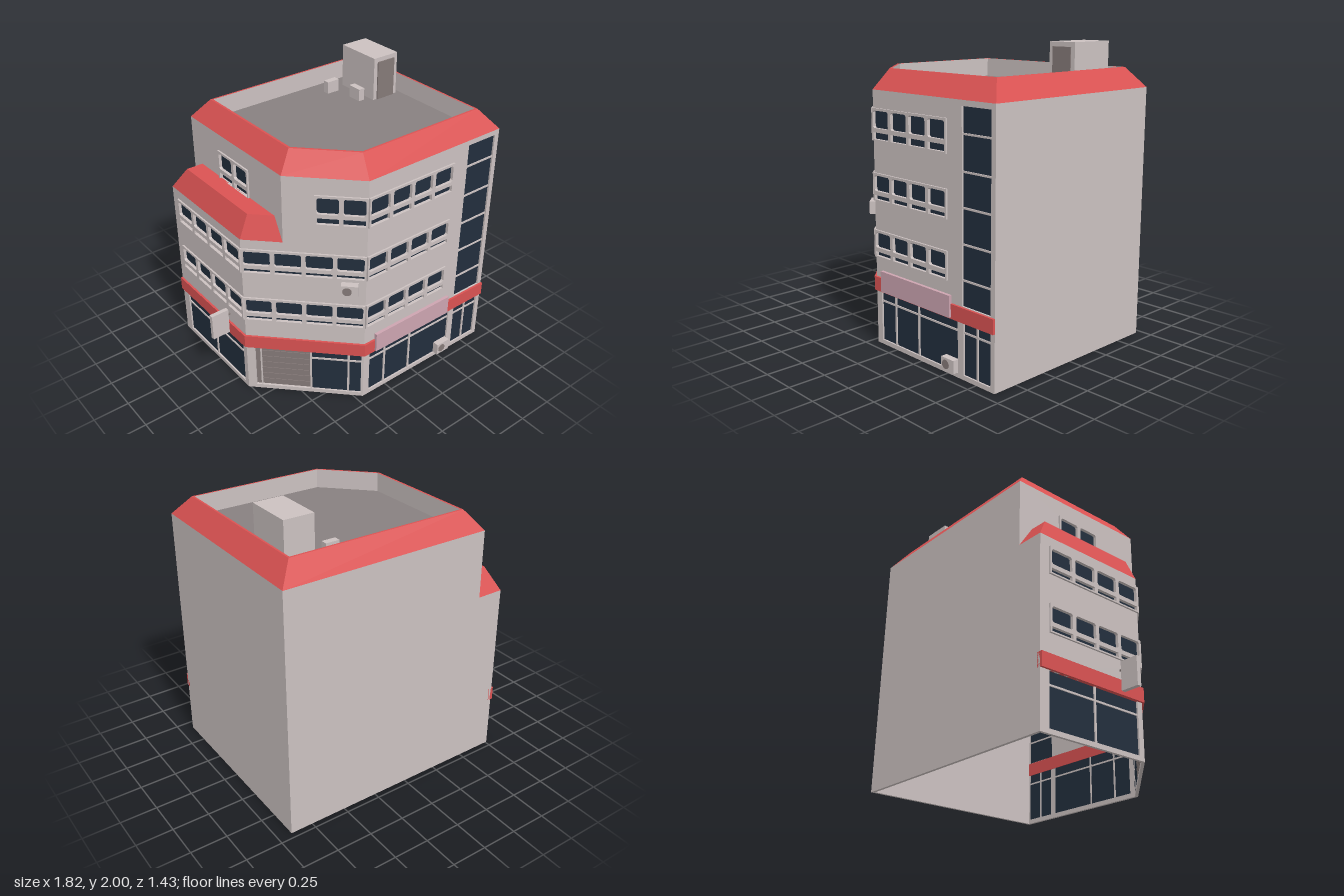
import * as THREE from 'three';

const mat = (name, color, side = THREE.FrontSide) => {
  const m = new THREE.MeshStandardMaterial({ color, side });
  m.name = name;
  return m;
};
const WALL = mat('pale wall', 0xcbc1c0, THREE.DoubleSide);
const RED = mat('red roofing', 0xda5252, THREE.DoubleSide);
const GLASS = mat('dark glass', 0x222e3d);
const DECK = mat('roof deck grey', 0x878080, THREE.DoubleSide);
const PINK = mat('pink sign', 0xcca4b0);
const SHUTTER = mat('shutter grey', 0x857a78);

function add(parent, name, geometry, material) {
  const m = new THREE.Mesh(geometry, material);
  m.name = name;
  parent.add(m);
  return m;
}

// Box given by its minimum and maximum corners
function box(parent, name, material, x0, x1, y0, y1, z0, z1) {
  const m = add(parent, name, new THREE.BoxGeometry(x1 - x0, y1 - y0, z1 - z0), material);
  m.position.set((x0 + x1) / 2, (y0 + y1) / 2, (z0 + z1) / 2);
  return m;
}

const toShape = pts => new THREE.Shape(pts.map(p => new THREE.Vector2(p[0], p[1])));
const rect = (x0, x1, y0, y1) => [[x0, y0], [x1, y0], [x1, y1], [x0, y1]];
// Rectangle with small cut corners
const cutRect = (x0, x1, y0, y1, c) => [[x0 + c, y0], [x1 - c, y0], [x1, y0 + c], [x1, y1 - c],
  [x1 - c, y1], [x0 + c, y1], [x0, y1 - c], [x0, y0 + c]];

// Upright plate with holes, between depths z0 and z1
function plate(outline, holes, z0, z1) {
  const s = toShape(outline);
  s.holes = holes.map(toShape);
  return new THREE.ExtrudeGeometry(s, { depth: z1 - z0, bevelEnabled: false }).translate(0, 0, z0);
}

// Horizontal polygon from [x, z] points
const flat = (pts, y) => new THREE.ShapeGeometry(toShape(pts.map(([x, z]) => [x, -z])))
  .rotateX(-Math.PI / 2).translate(0, y, 0);

// Flat-faced strip joining two [x, z] loops at two heights
function loft(a, ya, b, yb) {
  const pos = [];
  a.forEach((p, i) => {
    const j = (i + 1) % a.length;
    const A = [p[0], ya, p[1]], B = [a[j][0], ya, a[j][1]];
    const C = [b[j][0], yb, b[j][1]], D = [b[i][0], yb, b[i][1]];
    pos.push(...A, ...B, ...C, ...A, ...C, ...D);
  });
  const g = new THREE.BufferGeometry();
  g.setAttribute('position', new THREE.Float32BufferAttribute(pos, 3));
  g.computeVertexNormals();
  return g;
}

// Facade from a to b ([x, z]); inside it, x runs along the wall and z points outward
function facade(parent, name, a, b, outline, holes = []) {
  const g = new THREE.Group();
  g.name = name;
  g.position.set(a[0], 0, a[1]);
  g.rotation.y = Math.atan2(-(b[1] - a[1]), b[0] - a[0]);
  add(g, name + 'Wall', plate(outline, holes, -0.02, 0), WALL);
  parent.add(g);
  return g;
}

const bandHole = (u0, u1, y0, y1) => rect(u0 + 0.008, u1 - 0.008, y0 + 0.006, y1 - 0.006);

// Projecting frame with n tall panes over n low panes
function windowBand(g, u0, u1, n, [y0, y1, ySill]) {
  const pitch = (u1 - u0) / n, holes = [];
  for (let i = 0; i < n; i++) {
    const l = u0 + i * pitch + 0.013, r = u0 + (i + 1) * pitch - 0.013;
    holes.push(cutRect(l, r, ySill + 0.02, y1 - 0.016, 0.01));
    holes.push(rect(l, r, y0 + 0.01, ySill - 0.008));
  }
  add(g, 'windowFrame', plate(rect(u0, u1, y0, y1), holes, -0.021, 0.012), WALL);
  box(g, 'windowGlass', GLASS, u0 + 0.009, u1 - 0.009, y0 + 0.007, y1 - 0.007, -0.016, -0.009);
}

// Recessed glazing with upright and level bars
function glazing(g, [u0, u1, y0, y1], uprights, levels) {
  box(g, 'shopGlass', GLASS, u0, u1, y0, y1, -0.02, -0.012);
  for (const u of uprights) box(g, 'mullion', WALL, u - 0.007, u + 0.007, y0, y1, -0.023, -0.004);
  for (const y of levels) box(g, 'transom', WALL, u0, u1, y - 0.006, y + 0.006, -0.023, -0.005);
}

// Air conditioner with a round fan on its outer face
function airConditioner(g, u, y, z) {
  box(g, 'airConditioner', WALL, u - 0.055, u + 0.055, y, y + 0.085, z, z + 0.045);
  const fan = add(g, 'fan', new THREE.CylinderGeometry(0.03, 0.03, 0.004, 20), SHUTTER);
  fan.rotation.x = Math.PI / 2;
  fan.position.set(u - 0.015, y + 0.043, z + 0.046);
}

export function createModel() {
  const model = new THREE.Group();
  model.name = 'cornerBuilding';
  const X0 = -0.76, XU = -0.57, X1 = 0.905, ZB = -0.71, ZF = 0.68, TOP = 1.7, STEP = 1.23;
  const floors = [[0.6, 0.785, 0.647], [0.98, 1.165, 1.027], [1.375, 1.585, 1.437]];
  const holesFor = (u0, u1, list) => list.map(f => bandHole(u0, u1, f[0], f[1]));
  const lower = floors.slice(0, 2);

  // Front
  const shop = [0.05, 0.79, 0.03, 0.37], door = [0.84, 1.07, 0.03, 0.37], stair = [0.83, 1.07, 0.468, 1.665];
  const front = facade(model, 'front', [-0.2, ZF], [X1, ZF], rect(0, 1.105, 0, TOP),
    [rect(...shop), rect(...door), rect(...stair), ...holesFor(0, 0.705, floors)]);
  floors.forEach(f => windowBand(front, 0, 0.705, 4, f));
  glazing(front, shop, [0.19, 0.42], [0.302]);
  glazing(front, door, [0.955], [0.302]);
  glazing(front, stair, [], [0.63, 0.85, 1.07, 1.285, 1.505]);
  airConditioner(front, 0.73, 0.03, -0.012);
  box(front, 'shopSign', PINK, 0.08, 0.745, 0.38, 0.52, 0.008, 0.03);

  // Slanted corner
  const L = 0.56 * Math.SQRT2, LU = 0.19 * Math.SQRT2;
  const gate = [0.057, 0.43, 0.03, 0.37], entry = [0.442, 0.775, 0.03, 0.37];
  const corner = facade(model, 'corner', [X0, 0.12], [-0.2, ZF],
    [[0, 0], [L, 0], [L, TOP], [LU, TOP], [LU, STEP], [0, STEP]],
    [rect(...gate), rect(...entry), ...holesFor(0, L, lower), ...holesFor(0.467, L, [floors[2]])]);
  lower.forEach(f => windowBand(corner, 0, L, 4, f));
  windowBand(corner, 0.467, L, 2, floors[2]);
  glazing(corner, entry, [0.69], [0.302]);
  box(corner, 'shutter', SHUTTER, ...gate, -0.022, -0.016);
  for (let y = 0.07; y < 0.36; y += 0.05)
    box(corner, 'shutterSlat', SHUTTER, 0.1, 0.425, y, y + 0.01, -0.025, -0.012);
  box(corner, 'shutterRail', WALL, 0.09, 0.1, 0.03, 0.37, -0.022, -0.006);
  airConditioner(corner, 0.69, 0.875, 0);

  // Window side, with the top floor set back
  const sideShop = [0.07, 0.79, 0.03, 0.37];
  const side = facade(model, 'side', [X0, ZB], [X0, 0.12], rect(0, 0.83, 0, STEP),
    [rect(...sideShop), ...holesFor(0.07, 0.83, lower)]);
  lower.forEach(f => windowBand(side, 0.07, 0.83, 4, f));
  glazing(side, sideShop, [0.43], [0.285]);
  const upper = facade(model, 'upperSide', [XU, ZB], [XU, 0.31], rect(0, 1.02, STEP, TOP),
    holesFor(0.33, 0.67, [floors[2]]));
  windowBand(upper, 0.33, 0.67, 2, floors[2]);

  // Blank walls
  facade(model, 'back', [X1, ZB], [X0, ZB],
    [[0, 0], [X1 - X0, 0], [X1 - X0, STEP], [X1 - XU, STEP], [X1 - XU, TOP], [0, TOP]]);
  facade(model, 'blankSide', [X1, ZF], [X1, ZB], rect(0, ZF - ZB, 0, TOP));

  // Red band around the shop floor
  const band = [[-0.775, ZB], [-0.775, 0.126], [-0.206, 0.695], [X1, 0.695],
    [X1, 0.655], [-0.19, 0.655], [-0.735, 0.11], [-0.735, ZB]];
  add(model, 'redBand', plate(band.map(([x, z]) => [x, -z]), [], 0.37, 0.465).rotateX(-Math.PI / 2), RED);

  // Sloped roof edge, rim, parapet and deck
  const eave = [[XU, ZB], [XU, 0.31], [-0.2, ZF], [X1, ZF], [X1, ZB]];
  const ridge = [[-0.47, -0.61], [-0.47, 0.257], [-0.162, 0.57], [0.8, 0.57], [0.8, -0.61]];
  const inner = [[-0.455, -0.597], [-0.455, 0.25], [-0.155, 0.557], [0.787, 0.557], [0.787, -0.597]];
  add(model, 'roofSlope', loft(eave, TOP, ridge, 1.83), RED);
  add(model, 'roofRim', loft(ridge, 1.83, inner, 1.83), RED);
  add(model, 'parapet', loft(inner, 1.83, inner, 1.7), WALL);
  add(model, 'roofDeck', flat(inner, 1.7), DECK);

  // Lower sloped roof on the set-back
  const ledge = [[X0, ZB], [X0, 0.12], [XU, 0.31], [XU, ZB]];
  const ledgeTop = [[-0.69, -0.61], [-0.69, 0.11], [XU, 0.23], [XU, -0.61]];
  add(model, 'ledgeSlope', loft(ledge, STEP, ledgeTop, 1.385), RED);
  add(model, 'ledgeTop', flat(ledgeTop, 1.385), RED);

  // Stair house and roof units
  box(model, 'stairHouse', WALL, 0.55, 0.755, 1.7, 2, -0.49, -0.155);
  box(model, 'stairHouseDoor', SHUTTER, 0.58, 0.725, 1.7, 1.97, -0.155, -0.147);
  box(model, 'roofUnit', WALL, 0.37, 0.465, 1.7, 1.785, -0.475, -0.43);
  box(model, 'roofUnit', WALL, 0.46, 0.505, 1.7, 1.785, -0.305, -0.2);

  // Hanging sign on two brackets
  box(model, 'hangingSign', WALL, -0.91, -0.782, 0.39, 0.58, -0.08, -0.05);
  for (const y of [0.44, 0.53]) box(model, 'signBracket', SHUTTER, -0.785, -0.755, y - 0.005, y + 0.005, -0.07, -0.06);

  return model;
}
